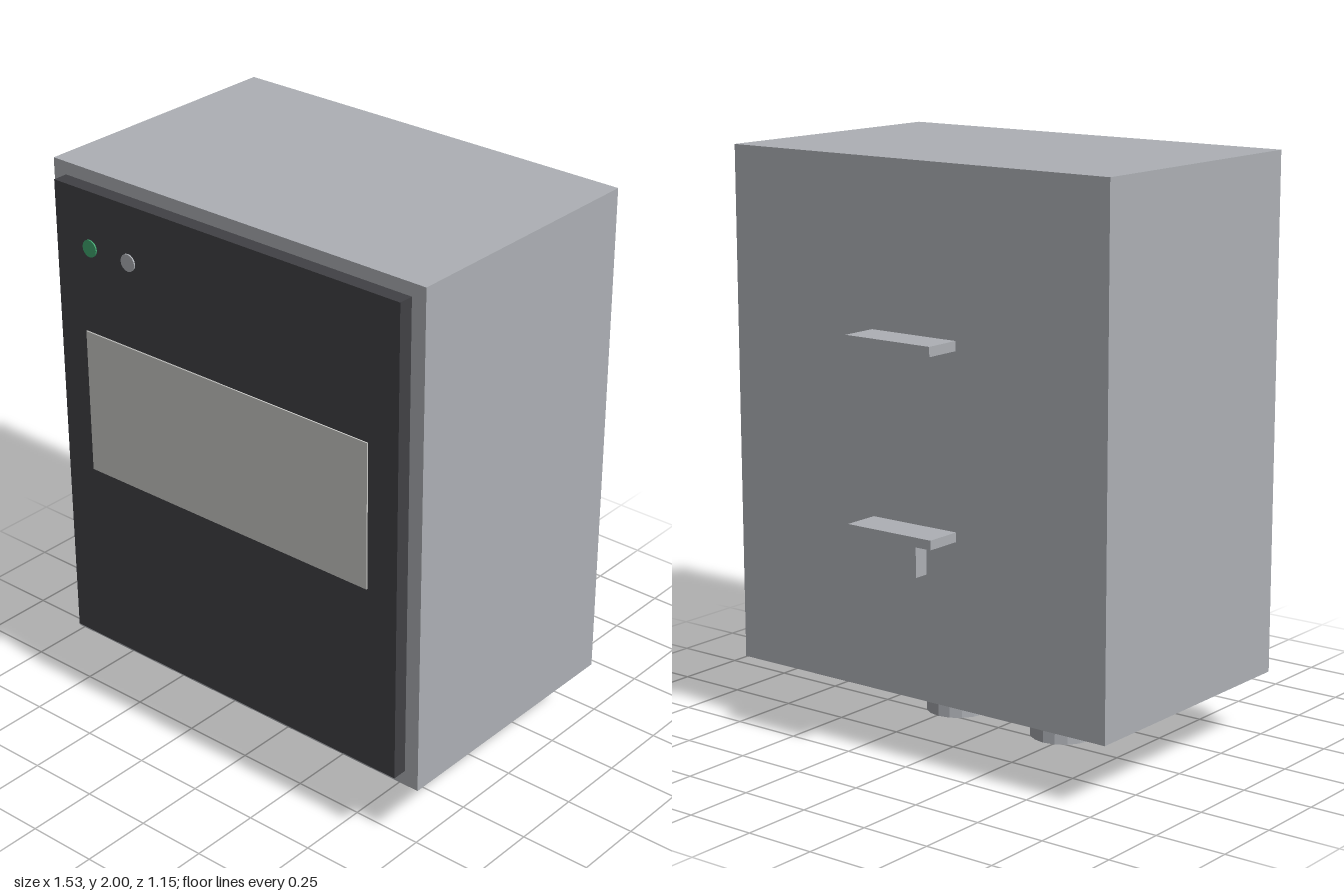
import * as THREE from 'three';

const material = (name, color) => {
  const m = new THREE.MeshStandardMaterial({ color, flatShading: true });
  m.name = name;
  return m;
};

export function createModel() {
  const grey = material('light grey', 0xadb0b5);
  const dark = material('charcoal', 0x414145);
  const pale = material('label off-white', 0xc9c9c6);
  const green = material('green', 0x3fa46e);

  const model = new THREE.Group();
  model.name = 'wallBox';

  const add = (name, geometry, mat, x, y, z) => {
    const mesh = new THREE.Mesh(geometry, mat);
    mesh.name = name;
    mesh.position.set(x, y, z);
    model.add(mesh);
    return mesh;
  };

  // Box given by its min and max corners
  const box = (name, mat, [x0, y0, z0], [x1, y1, z1]) =>
    add(name, new THREE.BoxGeometry(x1 - x0, y1 - y0, z1 - z0), mat,
      (x0 + x1) / 2, (y0 + y1) / 2, (z0 + z1) / 2);

  // Housing, front cover and label
  box('housing', grey, [-0.765, 0.222, -0.445], [0.765, 2, 0.517]);
  box('frontCover', dark, [-0.712, 0.276, 0.517], [0.712, 1.955, 0.57]);
  box('label', pale, [-0.595, 0.94, 0.57], [0.595, 1.455, 0.575]);

  // Indicator lamps
  for (const [name, mat, x] of [['greenLamp', green, -0.562], ['greyLamp', grey, -0.392]]) {
    add(name, new THREE.CylinderGeometry(0.03, 0.03, 0.005, 16), mat, x, 1.757, 0.5725)
      .rotation.x = Math.PI / 2;
  }

  // Cable sockets below, each with an end disc
  for (const [side, mat, x] of [['right', green, -0.228], ['left', grey, 0.228]]) {
    add(side + 'Socket', new THREE.CylinderGeometry(0.112, 0.112, 0.214, 16), grey, x, 0.115, 0.064);
    add(side + 'SocketEnd', new THREE.CylinderGeometry(0.085, 0.085, 0.008, 16), mat, x, 0.004, 0.064);
  }

  // Rear mounting clips and latch
  box('upperClip', grey, [-0.173, 1.407, -0.575], [0.173, 1.44, -0.445]);
  box('lowerClip', grey, [-0.173, 0.784, -0.575], [0.173, 0.816, -0.445]);
  box('latch', grey, [-0.05, 0.655, -0.5], [0.05, 0.784, -0.445]);

  return model;
}
